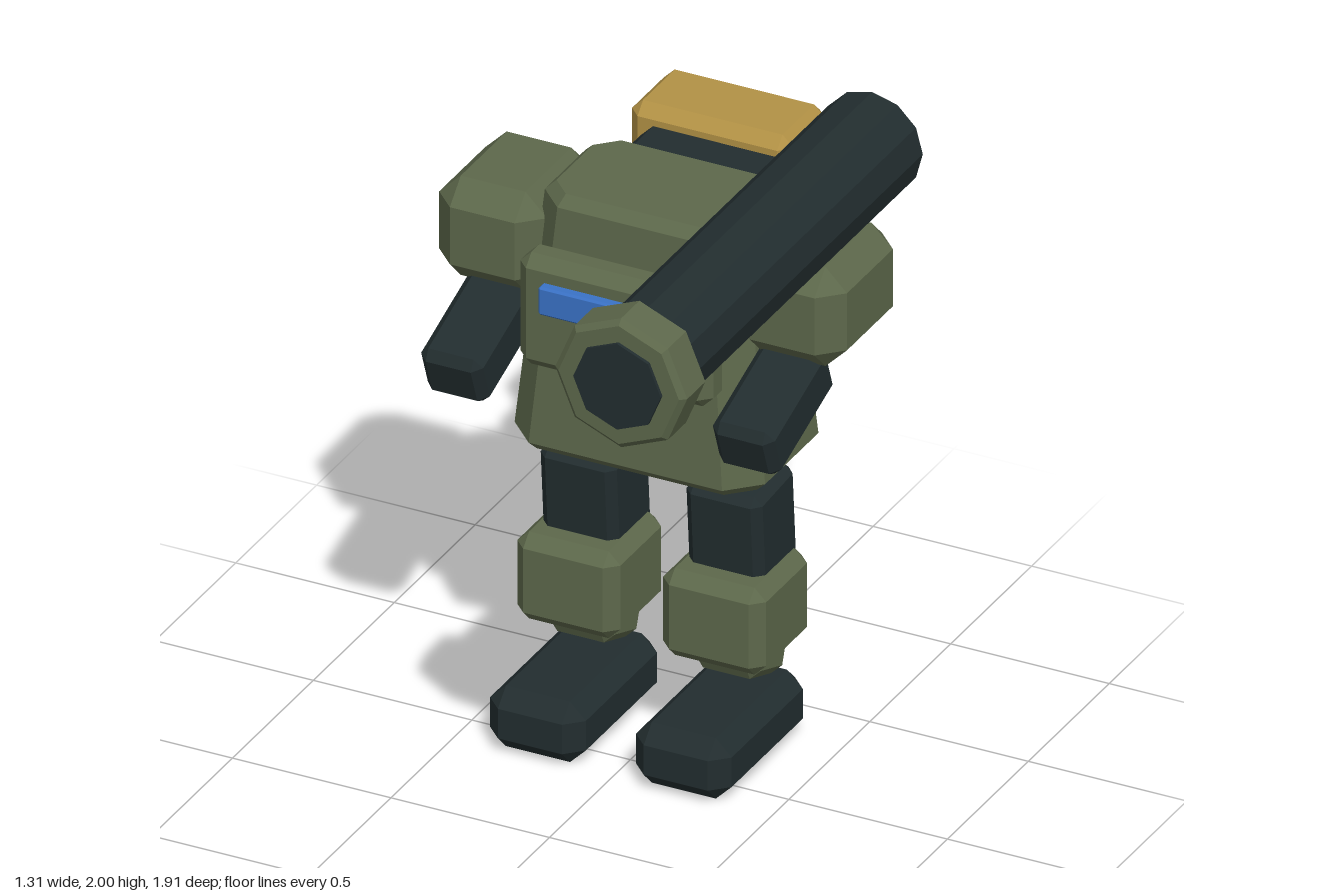
import * as THREE from 'three';
import { ConvexGeometry } from 'three/addons/geometries/ConvexGeometry.js';

const mat = (name, color) => {
  const m = new THREE.MeshStandardMaterial({ color });
  m.name = name;
  return m;
};

export function createModel() {
  const green = mat('olive green', 0x5d684b);
  const dark = mat('dark slate', 0x222d2f);
  const gold = mat('ochre', 0xb29145);
  const blue = mat('visor blue', 0x3a72c6);

  const model = new THREE.Group();
  model.name = 'robot';

  const add = (parent, name, geometry, material, x, y, z, tilt = 0) => {
    const mesh = new THREE.Mesh(geometry, material);
    mesh.name = name;
    mesh.position.set(x, y, z);
    mesh.rotation.x = tilt;
    parent.add(mesh);
    return mesh;
  };

  // Box with every edge and corner cut flat
  const chamferBox = (w, h, d, c) => {
    const points = [];
    for (const sx of [-1, 1]) for (const sy of [-1, 1]) for (const sz of [-1, 1]) {
      for (let axis = 0; axis < 3; axis++) {
        const cut = [c, c, c];
        cut[axis] = 0;
        points.push(new THREE.Vector3(
          sx * (w / 2 - cut[0]), sy * (h / 2 - cut[1]), sz * (d / 2 - cut[2])));
      }
    }
    return new ConvexGeometry(points);
  };

  // Solid through stacked rectangles with cut corners: [y, half width, half depth, cut]
  const octagonStack = (rings) => {
    const points = [];
    for (const [y, hx, hz, c] of rings)
      for (const sx of [-1, 1]) for (const sz of [-1, 1])
        points.push(new THREE.Vector3(sx * hx, y, sz * (hz - c)),
          new THREE.Vector3(sx * (hx - c), y, sz * hz));
    return new ConvexGeometry(points);
  };

  // Faceted barrel section along z, from [radius, z] pairs running back to front
  const barrel = (profile, sides) => {
    const points = [];
    for (const [r, z] of profile)
      for (let i = 0; i < sides; i++) {
        const a = (i / sides) * Math.PI * 2;
        points.push(new THREE.Vector3(r * Math.cos(a), r * Math.sin(a), z));
      }
    return new ConvexGeometry(points);
  };

  const body = new THREE.Group();
  body.name = 'body';
  body.position.x = -0.016;
  model.add(body);

  // Torso, chest plate and visor
  add(body, 'torso', octagonStack([
    [0.91, 0.365, 0.225, 0.07],
    [0.94, 0.395, 0.255, 0.09],
    [1.69, 0.32, 0.205, 0.08],
    [1.72, 0.29, 0.172, 0.06],
  ]), green, 0, 0, -0.255);
  add(body, 'chestPlate', chamferBox(0.61, 0.36, 0.12, 0.035), green, 0, 1.41, 0.026);
  add(body, 'visor', chamferBox(0.43, 0.09, 0.035, 0.006), blue, 0, 1.48, 0.103);

  // Arms and legs, mirrored
  for (const side of [-1, 1]) {
    const label = side > 0 ? 'left' : 'right';

    const arm = new THREE.Group();
    arm.name = label + 'Arm';
    body.add(arm);
    add(arm, 'shoulder', chamferBox(0.34, 0.32, 0.42, 0.068), green, side * 0.473, 1.517, -0.252);
    add(arm, 'forearm', chamferBox(0.196, 0.172, 0.39, 0.027), dark, side * 0.46, 1.252, -0.01, 0.35);

    const leg = new THREE.Group();
    leg.name = label + 'Leg';
    body.add(leg);
    const x = side * 0.23;
    add(leg, 'thigh', chamferBox(0.24, 0.38, 0.238, 0.026), dark, x, 0.663, -0.268, 0.075);
    add(leg, 'kneeGuard', chamferBox(0.325, 0.28, 0.326, 0.037), green, x, 0.45, -0.228);
    add(leg, 'shin', chamferBox(0.207, 0.255, 0.2, 0.03), green, x, 0.343, -0.283, -0.34);
    add(leg, 'foot', chamferBox(0.302, 0.195, 0.54, 0.05), dark, x, 0.0975, -0.131);
  }

  // Backpack with its offset supply box
  add(model, 'backpack', chamferBox(0.61, 0.625, 0.3, 0.04), dark, -0.016, 1.312, -0.677);
  add(model, 'supplyBox', chamferBox(0.51, 0.725, 0.265, 0.035), gold, -0.11, 1.317, -0.823);

  // Shoulder cannon
  const cannon = new THREE.Group();
  cannon.name = 'cannon';
  cannon.position.set(0.445, 1.795, 0);
  model.add(cannon);
  add(cannon, 'cannonTube', barrel([[0.148, -0.634], [0.16, -0.622], [0.16, 0.85]], 12), dark, 0, 0, 0);
  add(cannon, 'muzzleRing', barrel(
    [[0.19, 0.8], [0.208, 0.816], [0.208, 0.928], [0.19, 0.944]], 8), green, 0, 0, 0);
  add(cannon, 'muzzleBore', barrel([[0.138, 0.93], [0.138, 0.955]], 8), dark, 0, 0, 0);

  return model;
}
